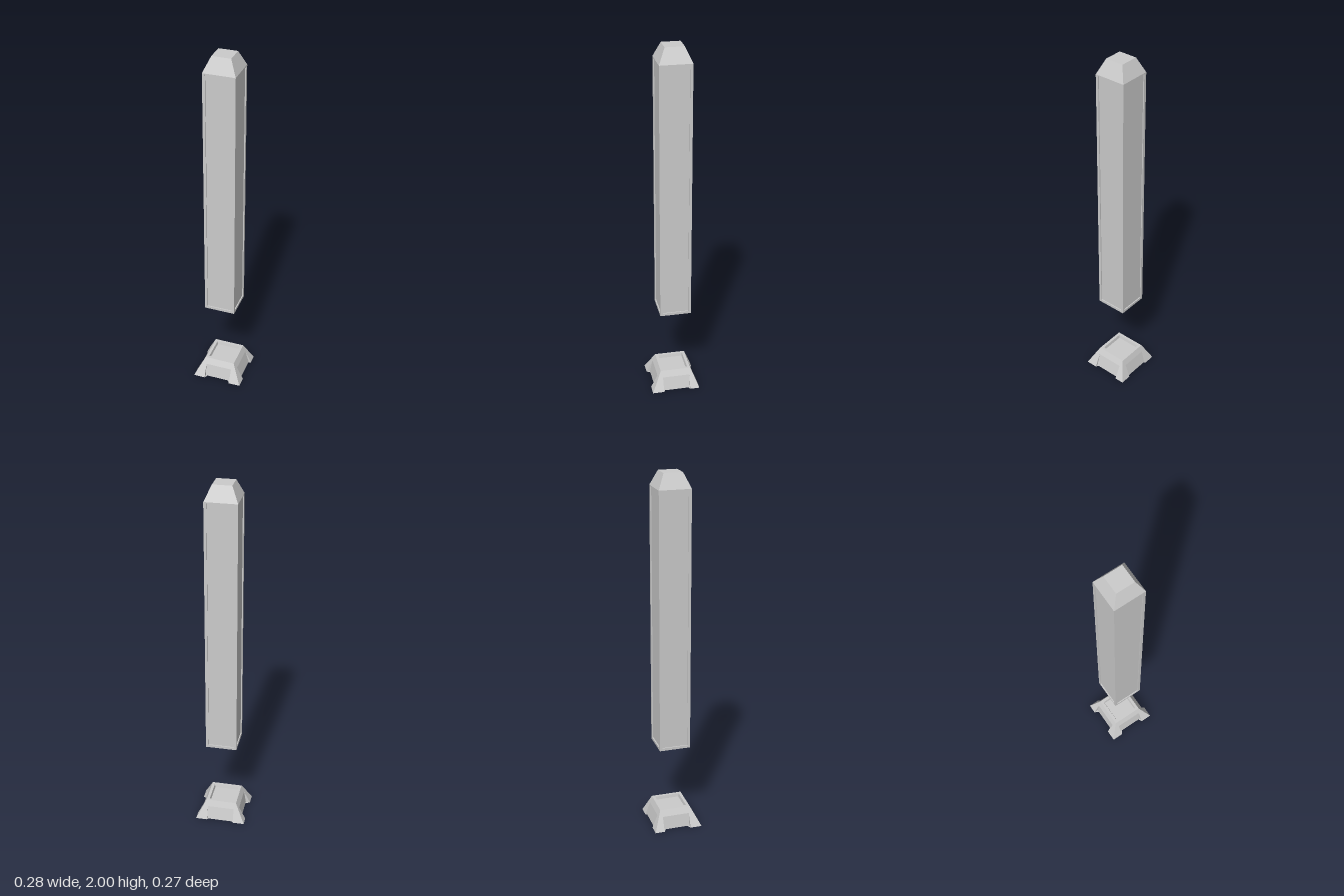
import * as THREE from 'three';

const CZ = -0.006;   // shaft centre in z
const HALF = 0.087;  // shaft half width
const material = new THREE.MeshStandardMaterial({ color: 0xcccccc, flatShading: true, side: THREE.DoubleSide });

// Joins rings of [x, y, z] points (counter-clockwise from above, listed bottom to top)
function loft(rings) {
  const pos = [];
  for (let r = 0; r < rings.length - 1; r++) {
    const lo = rings[r], hi = rings[r + 1], n = lo.length;
    for (let i = 0; i < n; i++) {
      const j = (i + 1) % n;
      pos.push(...lo[i], ...lo[j], ...hi[j], ...lo[i], ...hi[j], ...hi[i]);
    }
  }
  const g = new THREE.BufferGeometry();
  g.setAttribute('position', new THREE.Float32BufferAttribute(pos, 3));
  g.computeVertexNormals();
  return g;
}

// Rectangular ring with a slot in each side; slot = [front, right, back, left] plane positions or null
function ring(y, hx, hz, cz, slot) {
  const x0 = -hx, x1 = hx, z0 = cz - hz, z1 = cz + hz;
  const [f, r, b, l] = slot || [z1, x1, z0, x0];
  const sx = Math.min(0.076, hx);
  const sz1 = Math.min(0.071, z1), sz0 = Math.max(-0.083, z0);
  return [
    [x0, z1], [-sx, z1], [-sx, f], [sx, f], [sx, z1],
    [x1, z1], [x1, sz1], [r, sz1], [r, sz0], [x1, sz0],
    [x1, z0], [sx, z0], [sx, b], [-sx, b], [-sx, z0],
    [x0, z0], [x0, sz0], [l, sz0], [l, sz1], [x0, sz1],
  ].map(([x, z]) => [x, y, z]);
}

export function createModel() {
  const model = new THREE.Group();
  const add = (parent, name, geometry) => {
    const mesh = new THREE.Mesh(geometry, material);
    mesh.name = name;
    parent.add(mesh);
    return mesh;
  };

  // Base: sloped block with four corner feet and a shallow socket on top
  const t = 0.075 / 0.11, mix = THREE.MathUtils.lerp;
  add(model, 'base', loft([
    ring(0, 0, 0, 0, [0, 0, 0, 0]),
    ring(0, 0.141, 0.136, 0, [0.115, 0.126, -0.126, -0.116]),
    ring(0.075, mix(0.141, HALF, t), mix(0.136, HALF, t), mix(0, CZ, t)),
    ring(0.11, HALF, HALF, CZ),
    ring(0.11, 0.071, 0.071, CZ),
    ring(0.092, 0.067, 0.067, CZ),
    ring(0.092, 0, 0, CZ),
  ]));

  // Shaft: core with a raised frame on each side
  const shaft = new THREE.Group();
  shaft.name = 'shaft';
  shaft.position.z = CZ;
  model.add(shaft);
  const bottom = 0.48, top = 1.92, depth = 0.006, rim = 0.015;
  const core = (HALF - depth) * 2;
  add(shaft, 'shaftCore', new THREE.BoxGeometry(core, top - bottom, core)).position.y = (top + bottom) / 2;

  const rect = (Type, w, y0, y1) => new Type([[-w, y0], [w, y0], [w, y1], [-w, y1]]
    .map(([x, y]) => new THREE.Vector2(x, y)));
  for (let i = 0; i < 4; i++) {
    const w = i % 2 ? HALF - depth : HALF; // side frames fit between front and back
    const shape = rect(THREE.Shape, w, bottom, top);
    shape.holes.push(rect(THREE.Path, HALF - rim, bottom + rim, top - 0.006));
    const geometry = new THREE.ExtrudeGeometry(shape, { depth, bevelEnabled: false });
    geometry.translate(0, 0, HALF - depth);
    add(shaft, 'panelFrame', geometry).rotation.y = i * Math.PI / 2;
  }

  // Cap: truncated pyramid
  const square = (y, h) => [[-h, y, h], [h, y, h], [h, y, -h], [-h, y, -h]];
  add(shaft, 'cap', loft([square(top, 0), square(top, HALF), square(2, 0.051), square(2, 0)]));

  return model;
}
